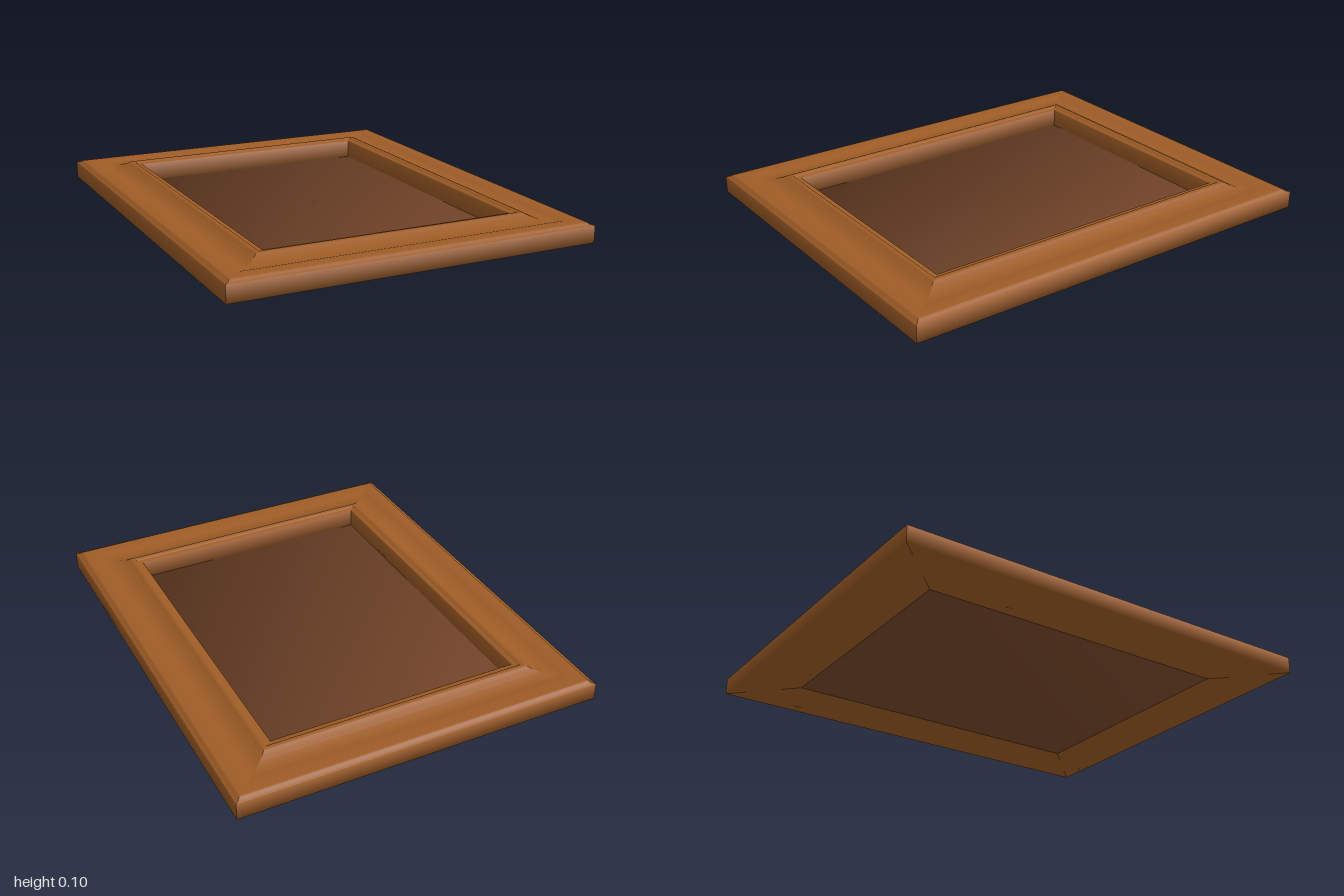
import * as THREE from 'three';
import { mergeVertices } from 'three/addons/utils/BufferGeometryUtils.js';

const HX = 0.83, HZ = 1.0, RAIL = 0.26;

// Moulding section: [inset from the outer edge, height], up the outside,
// over the top, down the inside and back along the underside
const PROFILE = [
  [0, 0], [0, 0.074], [0.004, 0.077], [0.018, 0.08], [0.022, 0.086],
  [0.03, 0.087], [0.085, 0.087], [0.1, 0.083], [0.12, 0.081], [0.17, 0.081],
  [0.176, 0.085], [0.19, 0.088], [0.208, 0.1], [0.214, 0.103], [0.23, 0.103],
  [0.235, 0.098], [0.24, 0.096], [0.256, 0.096], [RAIL, 0.093], [RAIL, 0],
];

// Smooth normals of the section, as [inward, up]
function profileNormals() {
  const n = PROFILE.length;
  const seg = PROFILE.map(([d, y], i) => {
    const [d2, y2] = PROFILE[(i + 1) % n];
    return new THREE.Vector2(-(y2 - y), d2 - d).normalize();
  });
  return seg.map((s, i) => s.clone().add(seg[(i + n - 1) % n]).normalize());
}

// One mitred side of the frame; a and b are the signs of its end corners
function railGeometry(a, b) {
  const pos = [], nor = [], idx = [];
  const n = PROFILE.length;
  const outX = (a[0] + b[0]) / 2, outZ = (a[1] + b[1]) / 2;
  const normals = profileNormals();
  PROFILE.forEach(([d, y], i) => {
    for (const [sx, sz] of [a, b]) {
      pos.push(sx * (HX - d), y, sz * (HZ - d));
      nor.push(-normals[i].x * outX, normals[i].y, -normals[i].x * outZ);
    }
    const l = 2 * i, r = l + 1, l2 = 2 * ((i + 1) % n), r2 = l2 + 1;
    idx.push(l, r, r2, l, r2, l2);
  });
  const g = new THREE.BufferGeometry();
  g.setAttribute('position', new THREE.Float32BufferAttribute(pos, 3));
  g.setAttribute('normal', new THREE.Float32BufferAttribute(nor, 3));
  g.setIndex(idx);
  return g;
}

// Thin slab whose corner normals are shared by all faces, for soft shading
function softSlab(w, h, d) {
  let g = new THREE.BoxGeometry(w, h, d);
  g.deleteAttribute('normal');
  g.deleteAttribute('uv');
  g = mergeVertices(g);
  const p = g.attributes.position, nor = [], v = new THREE.Vector3();
  for (let i = 0; i < p.count; i++) {
    v.set(Math.sign(p.getX(i)), Math.sign(p.getY(i)), Math.sign(p.getZ(i))).normalize();
    nor.push(v.x, v.y, v.z);
  }
  g.setAttribute('normal', new THREE.Float32BufferAttribute(nor, 3));
  return g;
}

export function createModel() {
  const frameWood = new THREE.MeshStandardMaterial({ color: 0x9e5c26 });
  frameWood.name = 'frame wood';
  const panelWood = new THREE.MeshStandardMaterial({ color: 0x744529 });
  panelWood.name = 'panel wood';

  const model = new THREE.Group();
  model.name = 'panelDoor';

  // Four mitred rails
  const frame = new THREE.Group();
  frame.name = 'frame';
  const corners = [[-1, 1], [1, 1], [1, -1], [-1, -1]];
  ['frontRail', 'leftStile', 'backRail', 'rightStile'].forEach((name, i) => {
    const rail = new THREE.Mesh(railGeometry(corners[i], corners[(i + 1) % 4]), frameWood);
    rail.name = name;
    frame.add(rail);
  });
  model.add(frame);

  // Panel set at the back of the opening
  const panel = new THREE.Mesh(softSlab(2 * (HX - RAIL), 0.01, 2 * (HZ - RAIL) + 0.12), panelWood);
  panel.name = 'panel';
  panel.scale.z = (2 * (HZ - 0.2)) / (2 * (HZ - RAIL) + 0.12);
  panel.position.y = 0.006;
  model.add(panel);

  return model;
}
